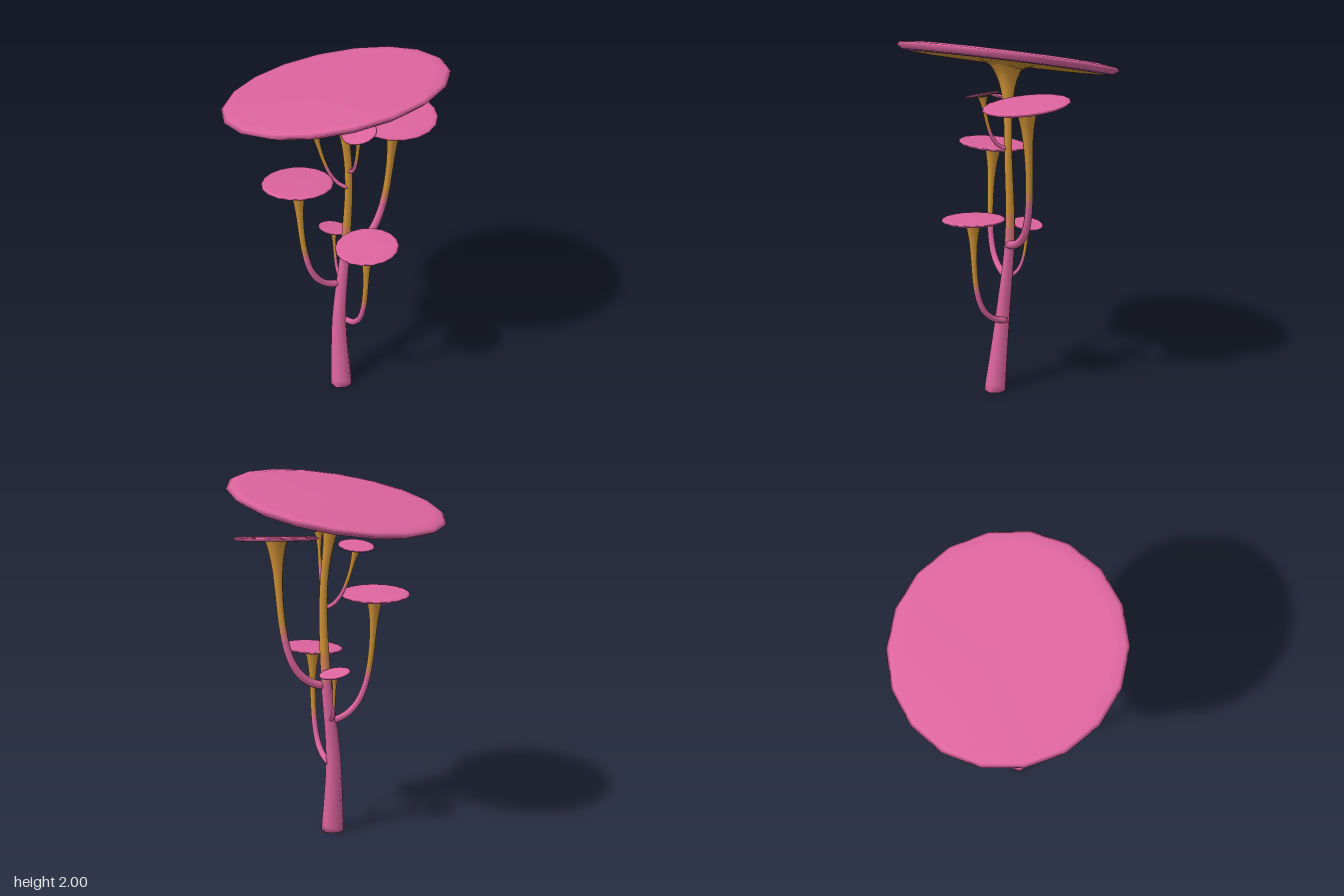
import * as THREE from 'three';

const material = (name, color) => {
  const m = new THREE.MeshStandardMaterial({ color });
  m.name = name;
  return m;
};

// Round closed-foot stem along a curve with radius rule radiusAt(t); steps from pink to ochre above fadeY.
function stem(name, curve, radiusAt, fadeY, fadeStep, rows, mats) {
  const sides = 8;
  const pos = [], index = [], heights = [];
  const geo = new THREE.BufferGeometry();
  const normal = new THREE.Vector3(1, 0, 0.4);
  for (let i = 0; i <= rows; i++) {
    const t = i / rows;
    const c = curve.getPoint(t), tangent = curve.getTangent(t);
    normal.addScaledVector(tangent, -normal.dot(tangent)).normalize();
    const side = tangent.clone().cross(normal);
    heights.push(c.y);
    for (let j = 0; j < sides; j++) {
      const a = j / sides * Math.PI * 2;
      const v = c.clone()
        .addScaledVector(normal, radiusAt(t) * Math.cos(a))
        .addScaledVector(side, radiusAt(t) * Math.sin(a));
      pos.push(v.x, c.y === 0 ? 0 : v.y, v.z);
    }
  }
  for (let j = 1; j < sides - 1; j++) index.push(0, j + 1, j);
  geo.addGroup(0, index.length, 0);
  for (let i = 0; i < rows; i++) {
    const y = (heights[i] + heights[i + 1]) / 2;
    geo.addGroup(index.length, sides * 6, THREE.MathUtils.clamp(Math.ceil((y - fadeY) / fadeStep), 0, 3));
    for (let j = 0; j < sides; j++) {
      const a = i * sides + j, b = i * sides + (j + 1) % sides;
      index.push(a, b, a + sides, b, b + sides, a + sides);
    }
  }
  geo.setAttribute('position', new THREE.Float32BufferAttribute(pos, 3));
  geo.setIndex(index);
  geo.computeVertexNormals();
  const mesh = new THREE.Mesh(geo, mats);
  mesh.name = name;
  return mesh;
}

// Thin tilted cap, smooth from the flare under it, over the rim, to the top.
function cap(name, centre, R, slopeX, slopeZ, mats) {
  const thick = 0.004 + 0.08 * R;
  const flare = [[0.13, -0.09], [0.25, -0.035]].map(([r, h]) => new THREE.Vector2(r * R, h * R));
  const shell = [[0.82, -0.5], [0.87, -0.5], [0.94, -0.42], [1, 0], [0.97, 0.3], [0.88, 0.48], [0, 0.55]]
    .map(([r, h]) => new THREE.Vector2(r * R, h * thick));
  const sides = 18;
  const geo = new THREE.LatheGeometry([...flare, ...shell], sides);
  // Bands from the inside out: ochre, ochre to mauve, mauve, then pink
  const bands = [0, 0, 1, 2, 3, 3, 3, 3];
  for (let i = 0; i < sides; i++) {
    bands.forEach((band, j) => geo.addGroup((i * bands.length + j) * 6, 6, band));
  }
  const mesh = new THREE.Mesh(geo, mats);
  mesh.name = name;
  const up = new THREE.Vector3(-slopeX, 1, -slopeZ).normalize();
  mesh.quaternion.setFromUnitVectors(new THREE.Vector3(0, 1, 0), up);
  mesh.position.copy(centre);
  return mesh;
}

// Branch leaving the trunk sideways and bending up to its cap; larger bends make sharper elbows.
function branch(name, root, centre, R, slopeX, slopeZ, bendX, bendZ, stemMats, capMats) {
  const group = new THREE.Group();
  group.name = name;
  const start = new THREE.Vector3(...root), top = new THREE.Vector3(...centre);
  const end = top.clone();
  end.y -= 0.006;
  const span = end.clone().sub(start);
  const control = (outX, outZ, rise) =>
    new THREE.Vector3(outX, rise, outZ).multiply(span).add(start);
  const curve = new THREE.CubicBezierCurve3(
    start, control(bendX, bendZ, 0.04), control((1 + bendX) / 2, (1 + bendZ) / 2, 0.4), end);
  const radiusAt = t => (0.003 + 0.09 * R) * (1 - 0.25 * t) + 0.2 * R * t ** 11;
  group.add(stem(name + 'Stem', curve, radiusAt, start.y + 0.33 * span.y, 0.06 * span.y, 24, stemMats));
  group.add(cap(name + 'Cap', top, R, slopeX, slopeZ, capMats));
  return group;
}

export function createModel() {
  const model = new THREE.Group();
  model.name = 'mushroomTree';
  const pink = material('pink', 0xdc649d);
  const coral = material('coral', 0xd9737c);
  const amber = material('amber', 0xd18355);
  const ochre = material('ochre', 0xcd9035);
  const brown = material('mauveBrown', 0xb47262);
  const mauve = material('mauve', 0x9c5490);
  const stemMats = [pink, coral, amber, ochre];
  const capMats = [ochre, brown, mauve, pink];

  // Main trunk: tapers upward, then flares into the large cap
  const trunkCurve = new THREE.CatmullRomCurve3([
    new THREE.Vector3(0.08, 0, 0.018),
    new THREE.Vector3(0.038, 0.45, -0.001),
    new THREE.Vector3(0.03, 0.92, -0.052),
    new THREE.Vector3(0.045, 1.4, -0.055),
    new THREE.Vector3(0.01, 1.846, -0.01),
  ]);
  const trunkRadius = t => 0.02 + 0.044 * (1 - t) ** 2.5 + 0.09 * t ** 18;
  model.add(stem('trunk', trunkCurve, trunkRadius, 0.9, 0.06, 48, stemMats));
  model.add(cap('mainCap', new THREE.Vector3(0, 1.86, 0), 0.588, 0.215, -0.065, capMats));

  // Side branches: root, cap centre, cap radius, cap slopes along x and z, bends along x and z
  const branches = [
    ['frontBranch', [0.02, 0.66, -0.03], [-0.06, 1.36, 0.203], 0.19, 0.08, 0.04, 0.3, 1],
    ['leftBranch', [0.04, 0.42, -0.03], [0.25, 1.03, -0.014], 0.17, 0.03, -0.06, 1, 1],
    ['smallRightBranch', [0.02, 0.67, -0.03], [-0.086, 0.955, -0.062], 0.086, 0.02, 0.2, 0.75, 0.75],
    ['backBranch', [0.04, 0.86, -0.05], [0.125, 1.67, -0.295], 0.227, -0.1, -0.05, 0.3, 1],
    ['upperRightBranch', [0.05, 1.29, -0.05], [-0.068, 1.63, 0.08], 0.098, 0.22, 0.03, 0.5, 0.5],
    ['upperLeftBranch', [0.05, 1.395, -0.055], [0.18, 1.69, -0.01], 0.092, 0, -0.28, 0.65, 0.65],
  ];
  for (const spec of branches) model.add(branch(...spec, stemMats, capMats));
  return model;
}
